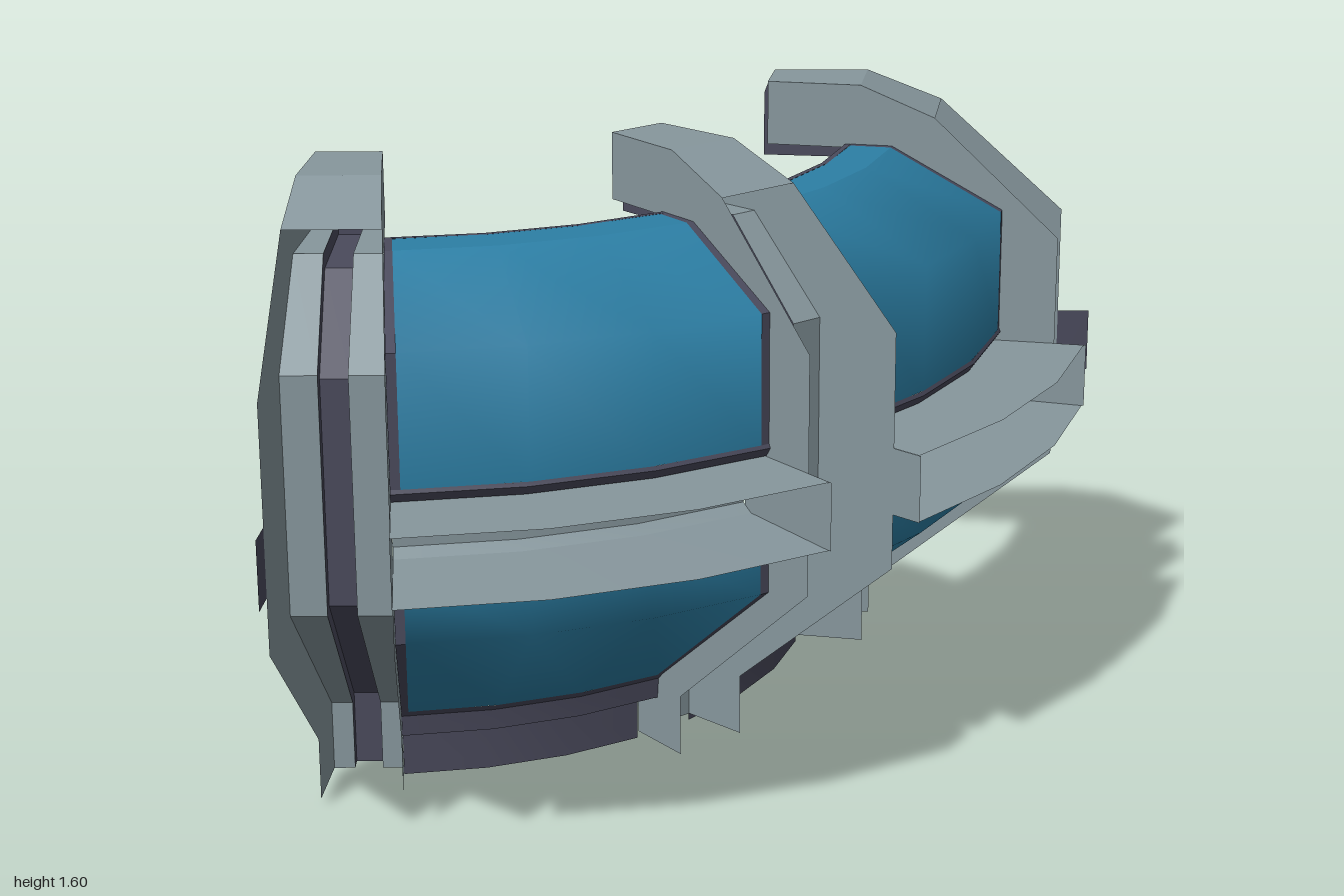
import * as THREE from 'three';
import { toCreasedNormals } from 'three/addons/utils/BufferGeometryUtils.js';

const mat = (name, color) => {
  const m = new THREE.MeshStandardMaterial({ color, side: THREE.DoubleSide });
  m.name = name;
  return m;
};

const RAD = Math.PI / 180;
const CX = -0.895, CZ = -1.0;       // centre of the arc in plan
const MID = 48.3, STEP = 40.7;      // middle rib angle and rib spacing
const WEDGE = 0.0765;               // half width of a rib per unit of radius
const EDGE = 4.4;                   // half angle taken up by a rib

// Point at angle a (degrees), depth r beyond the unit circle, sideways shift s
function place(a, r, y, s = 0) {
  const c = Math.cos(a * RAD), n = Math.sin(a * RAD);
  return [CX + (1 + r) * c - s * n, y, CZ + (1 + r) * n + s * c];
}

// Surface over a grid of points, with edges sharper than the crease kept hard
function grid(rows, cols, point, crease = 0.35) {
  const pos = [], idx = [];
  for (let i = 0; i < rows; i++)
    for (let j = 0; j < cols; j++) pos.push(...point(i, j));
  for (let i = 0; i < rows - 1; i++)
    for (let j = 0; j < cols - 1; j++) {
      const a = i * cols + j, b = a + cols;
      idx.push(a, a + 1, b, b, a + 1, b + 1);
    }
  const g = new THREE.BufferGeometry();
  g.setAttribute('position', new THREE.Float32BufferAttribute(pos, 3));
  g.setIndex(idx);
  return toCreasedNormals(g, crease);
}

// Profile of [depth, height] swept along the arc
const sweep = (profile, a0, a1, segs, crease) =>
  grid(profile.length, segs + 1,
    (i, j) => place(a0 + (a1 - a0) * j / segs, profile[i][0], profile[i][1]), crease);

export function createModel() {
  const model = new THREE.Group();
  const gray = mat('frame gray', 0x87979d);
  const dark = mat('dark trim', 0x4a4a5c);
  const blue = mat('blue glass', 0x2c7fa5);
  const add = (parent, name, geometry, material) => {
    const m = new THREE.Mesh(geometry, material);
    m.name = name;
    parent.add(m);
  };

  // Rib profiles
  const inner = [[0.06, 1.6], [0.06, 1.43], [0.38, 1.43], [0.6, 1.2], [0.6, 0.61], [0.15, 0.2], [0.15, 0.02]];
  const strip = [[0.045, 1.56], [0.045, 1.39], [0.36, 1.39], [0.56, 1.18], [0.56, 0.62], [0.11, 0.21], [0.11, 0.02]];
  const top = [[0.06, 1.6], [0.31, 1.6], [0.51, 1.52]];
  const outer = [...top, [0.845, 1.21], [0.845, 0.61], [0.335, 0.18], [0.335, 0.02]];
  const cheek = new THREE.Shape([...outer, ...inner.slice(1).reverse()].map(p => new THREE.Vector2(...p)));
  const tab = new THREE.Shape([[0.845, 0.92], [0.93, 0.92], [0.93, 0.75], [0.845, 0.75]].map(p => new THREE.Vector2(...p)));

  const wedge = r => (1 + r) * WEDGE;
  const flatBack = r => 0.0715 + 0.1335 * r;   // wider outer side of the last rib

  function makeRib(name, angle, low, high, darkSide) {
    const rib = new THREE.Group();
    rib.name = name;
    const sides = [r => -low(r), high];

    // Flat shape stood up on one side of the rib
    const stand = (shape, side) => {
      const g = new THREE.ShapeGeometry(shape);
      const p = g.attributes.position;
      for (let i = 0; i < p.count; i++) {
        const r = p.getX(i), y = p.getY(i);
        p.setXYZ(i, ...place(angle, r, y, side(r)));
      }
      g.computeVertexNormals();
      return g;
    };
    sides.forEach((side, k) => {
      const sign = k ? 1 : -1;
      add(rib, 'ribCheek', stand(cheek, side), gray);
      add(rib, 'ribTab', stand(tab, side), sign === darkSide ? dark : gray);
      // Inner wall on either side of the dark strip
      add(rib, 'ribInnerWall', grid(inner.length, 2, (i, j) => {
        const [r, y] = inner[i];
        return place(angle, r, y, j ? side(r) : sign * 0.035);
      }), gray);
    });
    // Top of the hook; the outer side below it is open
    add(rib, 'ribTop', grid(top.length, 2,
      (i, j) => place(angle, top[i][0], top[i][1], sides[j](top[i][0]))), gray);
    // Raised strip along the inside
    add(rib, 'ribStrip', grid(strip.length, 4, (i, j) => {
      const [r, y] = (j === 0 || j === 3 ? inner : strip)[i];
      return place(angle, r, y, j < 2 ? -0.035 : 0.035);
    }), dark);
    model.add(rib);
  }
  makeRib('leftRib', MID - STEP, flatBack, wedge, -1);
  makeRib('middleRib', MID, wedge, wedge, 0);
  makeRib('rightRib', MID + STEP, wedge, wedge, 1);

  // Bay profiles
  const upper = [[0.4, 1.44], [0.7, 1.28], [0.7, 0.955]];
  const lower = [[0.7, 0.73], [0.7, 0.575], [0.265, 0.22]];
  const roof = [[0.29, 1.44], [0.4, 1.44]];
  const sill = [[0.265, 0.22], [0.245, 0.2], [0.24, 0.145], [0.17, 0.14], [0.15, 0.12], [0.15, 0]];
  const ledge = [[0.93, 0.92], [0.66, 0.92], [0.63, 0.9], [0.6, 0.84], [0.6, 0.78], [0.63, 0.76], [0.93, 0.75]];
  const rails = [
    [[0.27, 1.425], [0.275, 1.44], [0.29, 1.44]],
    [[0.7, 0.955], [0.705, 0.945], [0.69, 0.922], [0.66, 0.922]],
    [[0.7, 0.73], [0.705, 0.737], [0.69, 0.753], [0.66, 0.753]],
  ];

  for (const start of [MID - STEP, MID]) {
    const bay = new THREE.Group();
    bay.name = 'windowBay';
    const a0 = start + EDGE, a1 = start + STEP - EDGE, f = 0.8;
    add(bay, 'upperGlass', sweep(upper, a0 + f, a1 - f, 3, 1.2), blue);
    add(bay, 'glassRoof', sweep(roof, a0 + f, a1 - f, 3), blue);
    add(bay, 'lowerGlass', sweep(lower, a0 + f, a1 - f, 3, 1.2), blue);
    // Dark frame beside and between the panes
    for (const [b0, b1] of [[a0, a0 + f], [a1 - f, a1]]) {
      add(bay, 'upperSideFrame', sweep([...roof, ...upper.slice(1)], b0, b1, 1), dark);
      add(bay, 'lowerSideFrame', sweep(lower, b0, b1, 1), dark);
    }
    rails.forEach(p => add(bay, 'frameRail', sweep(p, a0, a1, 3), dark));
    add(bay, 'sill', sweep(sill, a0, a1, 3), dark);
    // Channel open to the outside
    add(bay, 'ledge', sweep(ledge, a0, a1, 3), gray);
    model.add(bay);
  }
  return model;
}
